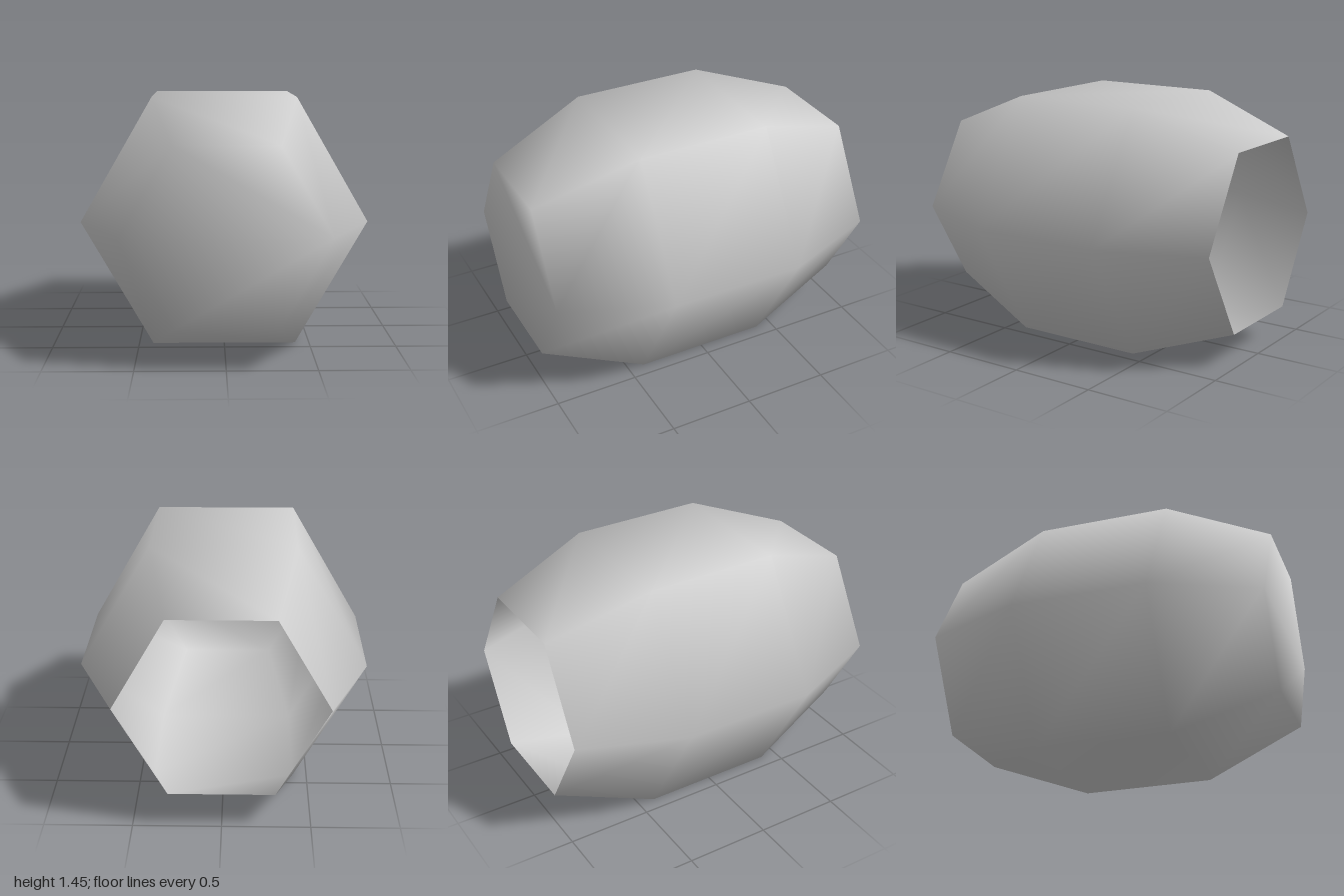
import * as THREE from 'three';

export function createModel() {
  const group = new THREE.Group();
  const SIDES = 6;
  const CENTRE_Y = 0.7235;
  // Hexagonal sections from front to back: [z, corner radius]
  const rings = [[1, 0.577], [0.4, 0.835], [-0.4, 0.835], [-1, 0.598]];

  const positions = [];
  for (const [z, r] of rings) {
    for (let i = 0; i < SIDES; i++) {
      const a = (i / SIDES) * Math.PI * 2;
      positions.push(Math.cos(a) * r, CENTRE_Y + Math.sin(a) * r, z);
    }
  }

  const index = [];
  // Side walls
  for (let k = 0; k < rings.length - 1; k++) {
    for (let i = 0; i < SIDES; i++) {
      const j = (i + 1) % SIDES;
      const a = k * SIDES + i, b = k * SIDES + j;
      const c = a + SIDES, d = b + SIDES;
      index.push(c, d, a, a, d, b);
    }
  }
  // Closed front end; the back stays open
  for (let i = 1; i < SIDES - 1; i++) index.push(0, i, i + 1);

  const geometry = new THREE.BufferGeometry();
  geometry.setAttribute('position', new THREE.Float32BufferAttribute(positions, 3));
  geometry.setIndex(index);
  geometry.computeVertexNormals(); // shared corners give smooth shading

  const shellGrey = new THREE.MeshStandardMaterial({ color: 0xcccccc, side: THREE.DoubleSide });
  shellGrey.name = 'shell grey';

  const barrel = new THREE.Mesh(geometry, shellGrey);
  barrel.name = 'barrelShell';
  group.add(barrel);
  return group;
}
